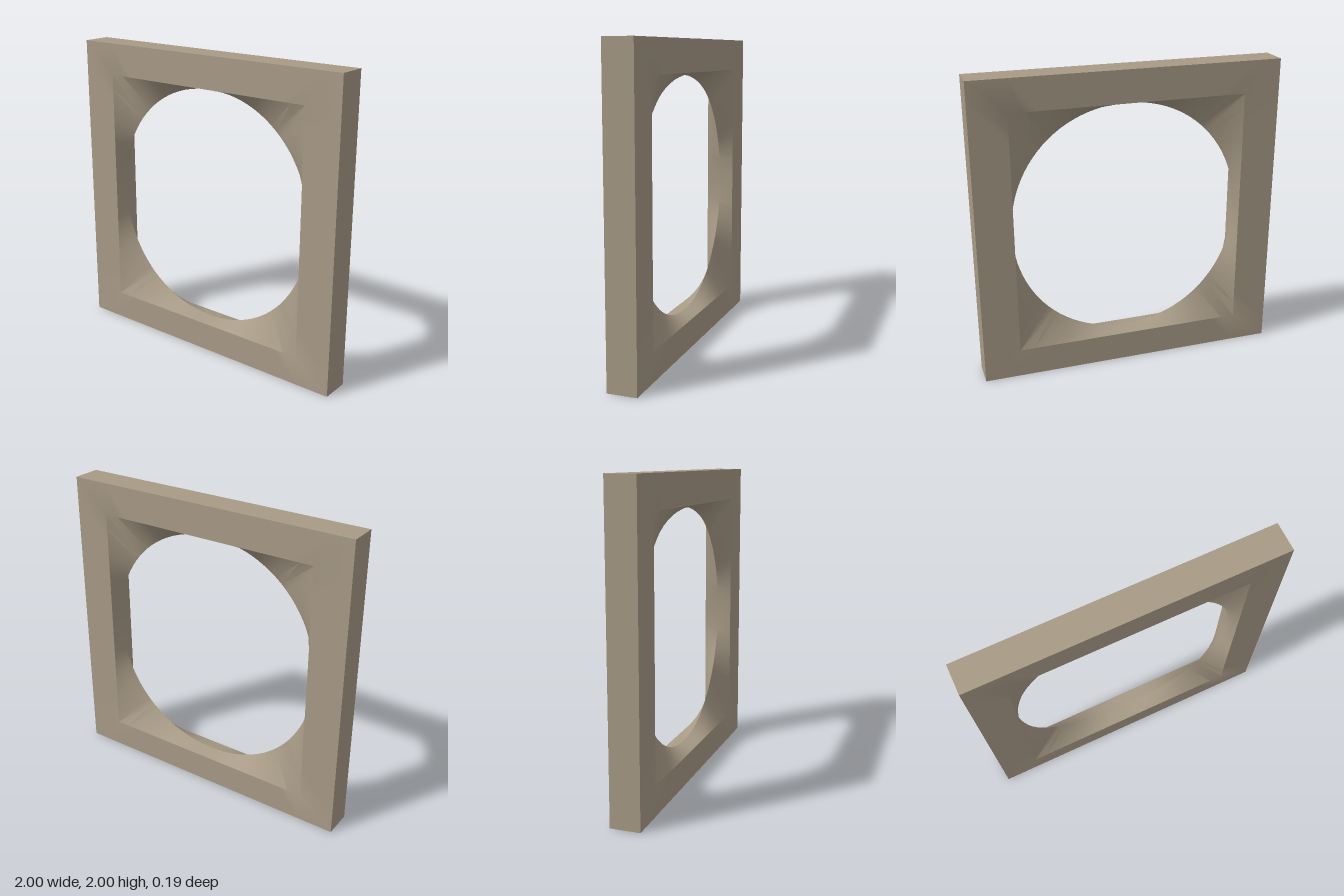
import * as THREE from 'three';
import { toCreasedNormals } from 'three/addons/utils/BufferGeometryUtils.js';

const N = 96;        // samples around each ring, a multiple of 8 so corners are hit
const DEPTH = 0.095; // half thickness

// Square ring point and rounded ring point for a given angle
const square = (hx, hy, cy) => (a) => {
  const c = Math.cos(a), s = Math.sin(a), m = Math.max(Math.abs(c), Math.abs(s));
  return [hx * c / m, cy + hy * s / m];
};
const round = (hx, hy, cy, power) => (a) => {
  const c = Math.cos(a), s = Math.sin(a), e = 2 / power;
  return [hx * Math.sign(c) * Math.abs(c) ** e, cy + hy * Math.sign(s) * Math.abs(s) ** e];
};

// Skins a closed chain of rings, the last joining back to the first
function loftLoop(rings) {
  const pos = [], index = [];
  for (const { at, z } of rings) {
    for (let k = 0; k < N; k++) pos.push(...at((k / N) * Math.PI * 2), z);
  }
  const id = (r, k) => (r % rings.length) * N + (k % N);
  for (let r = 0; r < rings.length; r++) {
    for (let k = 0; k < N; k++) {
      const a = id(r, k), b = id(r, k + 1), c = id(r + 1, k + 1), d = id(r + 1, k);
      index.push(a, b, c, a, c, d);
    }
  }
  const g = new THREE.BufferGeometry();
  g.setAttribute('position', new THREE.Float32BufferAttribute(pos, 3));
  g.setIndex(index);
  return toCreasedNormals(g, 0.4);
}

export function createModel() {
  const group = new THREE.Group();
  group.name = 'squareFrame';

  const outer = square(1, 1, 1);
  const opening = square(0.762, 0.8, 0.99);
  const waist = round(0.76, 0.78, 0.99, 2.06);

  // Square panel whose opening narrows from a square on both faces to a round waist
  const frame = new THREE.Mesh(
    loftLoop([
      { at: outer, z: DEPTH },
      { at: opening, z: DEPTH },
      { at: waist, z: 0 },
      { at: opening, z: -DEPTH },
      { at: outer, z: -DEPTH },
    ]),
    new THREE.MeshStandardMaterial({ color: 0xa89b87 })
  );
  frame.name = 'frame';
  group.add(frame);
  return group;
}
